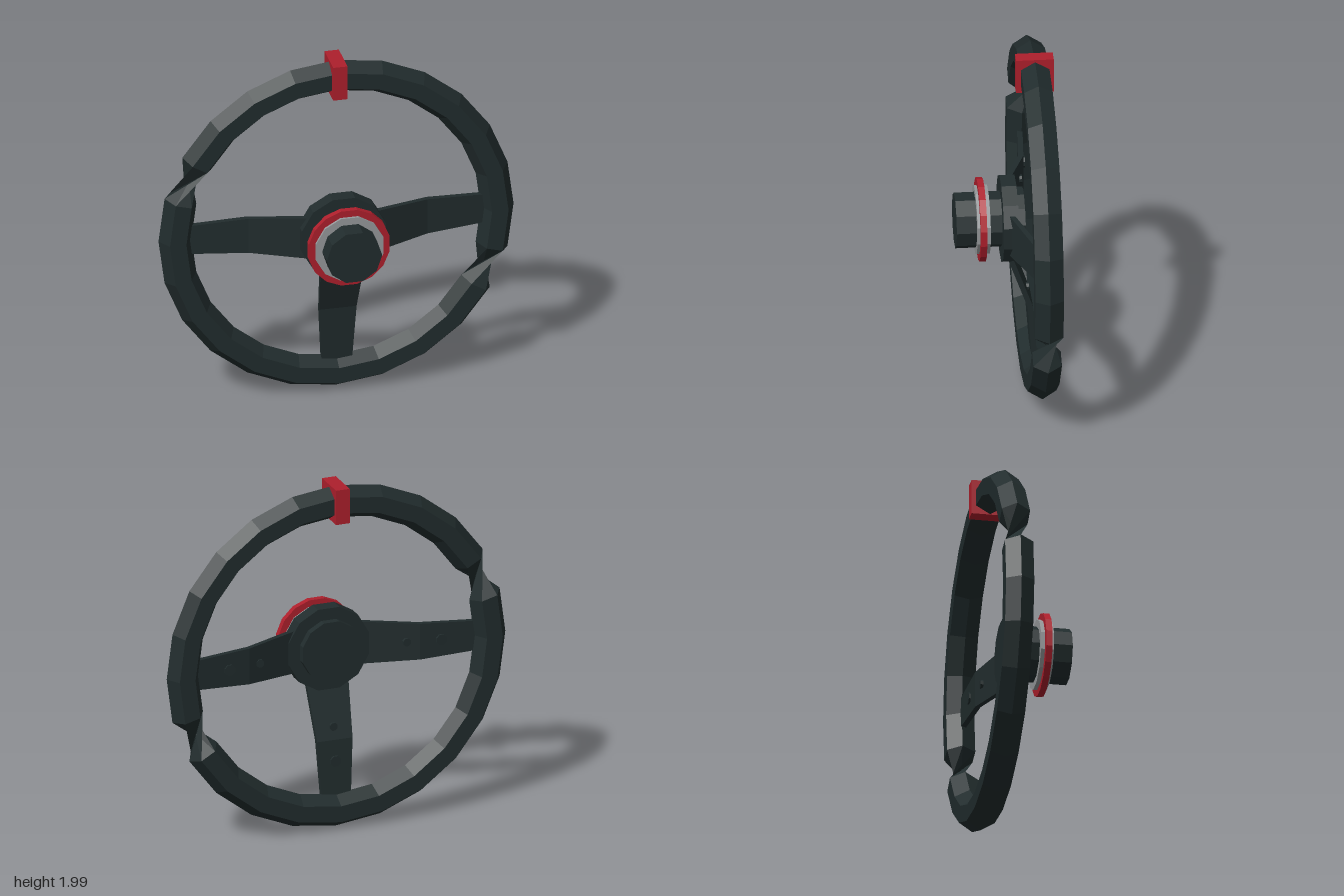
import * as THREE from 'three';

const black = new THREE.MeshStandardMaterial({ color: 0x212c2d, side: THREE.DoubleSide });
black.name = 'black leather';
const red = new THREE.MeshStandardMaterial({ color: 0xae1f2c });
red.name = 'red trim';
const grey = new THREE.MeshStandardMaterial({ color: 0x96999b });
grey.name = 'grey metal';

// Faceted mesh with one normal per face
function part(name, geometry, material, parent) {
  const flat = geometry.index ? geometry.toNonIndexed() : geometry;
  flat.computeVertexNormals();
  const mesh = new THREE.Mesh(flat, material);
  mesh.name = name;
  parent.add(mesh);
  return mesh;
}

// Polygonal disc along z with a flat side on top; flat = distance to that side
function disc(name, flat, zBack, zFront, sides, material, parent) {
  const r = flat / Math.cos(Math.PI / sides);
  const g = new THREE.CylinderGeometry(r, r, zFront - zBack, sides);
  g.rotateY(Math.PI / sides);
  g.rotateX(Math.PI / 2);
  g.translate(0, 0, (zBack + zFront) / 2);
  return part(name, g, material, parent);
}

// Hexagonal grip ring; half of its sections are turned over, giving two twisted joints
function rimGeometry() {
  const rings = 24, sides = 6, pos = [], index = [];
  for (let i = 0; i < rings; i++) {
    const a = (i / rings) * Math.PI * 2;
    const turned = i >= 11 && i <= 22;
    for (let j = 0; j < sides; j++) {
      const b = (j / sides) * Math.PI * 2 + (turned ? Math.PI : 0);
      const r = 0.9 + 0.092 * Math.cos(b);
      pos.push(r * Math.cos(a), r * Math.sin(a), 0.09 * Math.sin(b));
      const k = (j + 1) % sides, n = ((i + 1) % rings) * sides, m = i * sides;
      index.push(m + j, n + j, n + k, m + j, n + k, m + k);
    }
  }
  const g = new THREE.BufferGeometry();
  g.setAttribute('position', new THREE.Float32BufferAttribute(pos, 3));
  g.setIndex(index);
  return g;
}

// Flat bar that tapers outward and bends back toward the rim
function spokeGeometry() {
  const stations = [
    { r: 0.2, w: 0.122, z: -0.03 },
    { r: 0.5, w: 0.104, z: -0.135 },
    { r: 0.84, w: 0.084, z: -0.16 },
  ];
  const g = new THREE.BoxGeometry(2, 2, 0.03, 2, 1, 1);
  const p = g.attributes.position;
  for (let i = 0; i < p.count; i++) {
    const s = stations[Math.round(p.getX(i)) + 1];
    p.setXYZ(i, s.r, p.getY(i) * s.w, s.z + p.getZ(i));
  }
  return g;
}

export function createModel() {
  const model = new THREE.Group();
  model.name = 'steeringWheel';
  const wheel = new THREE.Group();
  wheel.name = 'wheel';
  wheel.position.y = 1;
  model.add(wheel);

  part('rim', rimGeometry(), black, wheel).position.z = -0.167;

  // Centre marker band on top of the rim
  const marker = part('centreMarker', new THREE.BoxGeometry(0.08, 0.2, 0.206), red, wheel);
  marker.position.set(0, 0.9, -0.166);

  // Spokes with bolts on the back
  const spokes = { leftSpoke: 0, rightSpoke: Math.PI, lowerSpoke: -Math.PI / 2 };
  for (const [name, angle] of Object.entries(spokes)) {
    const spoke = new THREE.Group();
    spoke.name = name;
    spoke.rotation.z = angle;
    wheel.add(spoke);
    part('spokeBar', spokeGeometry(), black, spoke);
    for (const [r, z, size] of [[0.43, -0.128, 0.022], [0.62, -0.16, 0.03]]) {
      const bolt = disc('bolt', size, -0.008, 0.008, 8, black, spoke);
      bolt.position.set(r, 0, z);
    }
  }

  // Hub stack from back to front
  disc('hubBackCap', 0.168, -0.105, -0.05, 12, black, wheel);
  disc('hubPlate', 0.235, -0.063, 0.02, 12, black, wheel);
  disc('hubBarrel', 0.147, 0, 0.27, 10, black, wheel);
  disc('greyCollar', 0.188, 0.088, 0.16, 12, grey, wheel);
  disc('redRing', 0.226, 0.11, 0.145, 16, red, wheel);
  return model;
}
